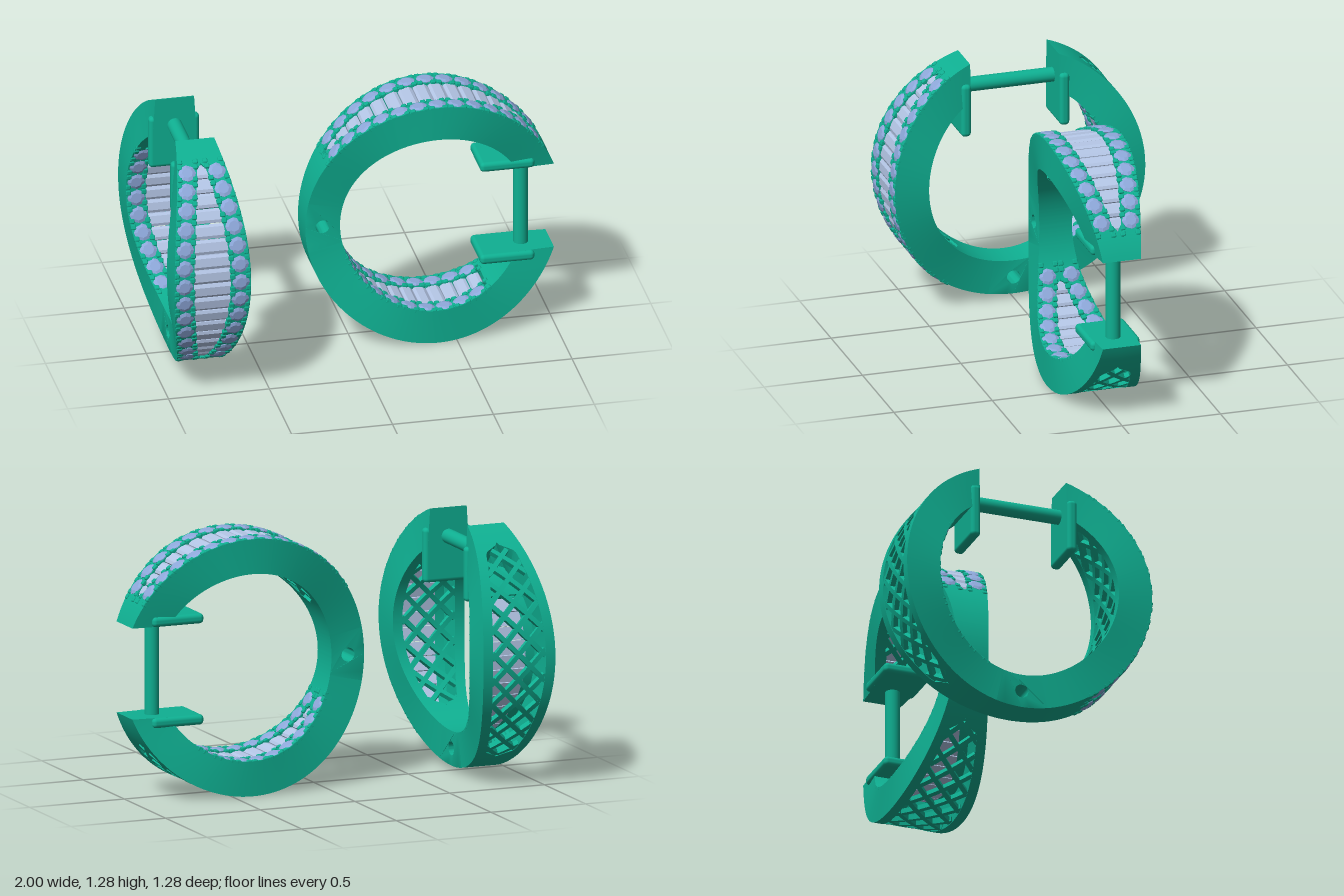
import * as THREE from 'three';
import { toCreasedNormals } from 'three/addons/utils/BufferGeometryUtils.js';
import { RoundedBoxGeometry } from 'three/addons/geometries/RoundedBoxGeometry.js';

const metal = new THREE.MeshStandardMaterial({ color: 0x0fb092 });
const roundStone = new THREE.MeshStandardMaterial({ color: 0x8ea8da, flatShading: true });
const baguetteStone = new THREE.MeshStandardMaterial({ color: 0xb4c6e6, flatShading: true });

const RIN = 0.463, ROUT = 0.635, GAP = 0.225, HINGE = 168;
const rad = THREE.MathUtils.degToRad, lerp = THREE.MathUtils.lerp;

// Half width of the band, and half width of the hollow inside it, by angle
const halfWidth = a => 0.19 - 0.107 * Math.cos(a) ** 2;
const hollow = a => {
  const edge = Math.min(a - rad(34), rad(147) - a) / rad(6);
  return (halfWidth(a) - 0.05) * THREE.MathUtils.smoothstep(edge, 0, 1);
};
const polar = (r, a, z) => new THREE.Vector3(r * Math.cos(a), r * Math.sin(a), z);

function add(parent, name, geometry, material = metal) {
  const mesh = new THREE.Mesh(geometry, material);
  mesh.name = name;
  parent.add(mesh);
  return mesh;
}

// Closed skin over a row of equal cross-sections, turned to face outwards
function sweep(sections, crease = 0.5) {
  const tris = [], m = sections[0].length, last = sections[sections.length - 1];
  for (let i = 0; i + 1 < sections.length; i++) {
    const p = sections[i], q = sections[i + 1];
    for (let j = 0; j < m; j++) {
      const k = (j + 1) % m;
      tris.push([p[j], p[k], q[k]], [p[j], q[k], q[j]]);
    }
  }
  for (let j = 1; j + 1 < m; j++) {
    tris.push([sections[0][0], sections[0][j + 1], sections[0][j]]);
    tris.push([last[0], last[j], last[j + 1]]);
  }
  const o = sections[0][0], v = new THREE.Vector3();
  let volume = 0;
  for (const [a, b, c] of tris) {
    volume += v.crossVectors(b.clone().sub(o), c.clone().sub(o)).dot(a.clone().sub(o));
  }
  const points = tris.flatMap(([a, b, c]) => (volume < 0 ? [a, c, b] : [a, b, c]));
  const geometry = new THREE.BufferGeometry().setFromPoints(points);
  geometry.computeVertexNormals();
  return crease ? toCreasedNormals(geometry, crease) : geometry;
}

// Curved strip between two radii and two z rules, over an angle range in degrees
function strip(r0, r1, z0, z1, from, to, n = 40) {
  const sections = [];
  for (let i = 0; i <= n; i++) {
    const a = rad(lerp(from, to, i / n));
    sections.push([polar(r0, a, z0(a)), polar(r0, a, z1(a)), polar(r1, a, z1(a)), polar(r1, a, z0(a))]);
  }
  return sweep(sections);
}

// Side wall of the upper half, cut level at the opening
function wall(side) {
  const sections = [];
  for (let i = 0; i <= 90; i++) {
    const at = r => lerp(Math.asin(GAP / r), rad(HINGE), i / 90);
    const a = at(RIN), b = at(ROUT);
    sections.push([
      polar(RIN, a, side * hollow(a)), polar(RIN, a, side * halfWidth(a)),
      polar(ROUT, b, side * halfWidth(b)), polar(ROUT, b, side * hollow(b)),
    ]);
  }
  return sweep(sections);
}

// Back of the band with the hinge pin hole
function hinge() {
  const a = rad(HINGE), b = 2 * Math.PI - a;
  const shape = new THREE.Shape();
  shape.absarc(0, 0, ROUT, a, b, false);
  shape.absarc(0, 0, RIN, b, a, true);
  const hole = new THREE.Path();
  hole.absarc(-0.55, 0, 0.034, 0, 2 * Math.PI, true);
  shape.holes.push(hole);
  const geometry = new THREE.ExtrudeGeometry(shape, { depth: 1, bevelEnabled: false, curveSegments: 24 });
  const p = geometry.attributes.position;
  for (let i = 0; i < p.count; i++) {
    const w = halfWidth(Math.atan2(p.getY(i), p.getX(i)));
    p.setZ(i, p.getZ(i) > 0.5 ? w : -w);
  }
  geometry.computeVertexNormals();
  return toCreasedNormals(geometry, 0.5);
}

// Crossing bars over the hollow
function lattice(parent, r0, r1) {
  const r = (r0 + r1) / 2, w = 0.012;
  for (const slope of [-1, 1]) {
    for (let s0 = 30; s0 <= 152; s0 += 0.125 / r * 180 / Math.PI) {
      const sections = [];
      for (let z = -0.17; z <= 0.17; z += 0.01) {
        const a = rad(s0) + slope * z / r;
        if (hollow(a) < 0.01 || Math.abs(z) > hollow(a) + 0.01) continue;
        const da = w * 0.7 / r, dz = w * 0.7 * slope;
        sections.push([
          polar(r0, a - da, z + dz), polar(r0, a + da, z - dz),
          polar(r1, a + da, z - dz), polar(r1, a - da, z + dz),
        ]);
      }
      if (sections.length > 1) add(parent, 'latticeBar', sweep(sections));
    }
  }
}

const stoneGeometry = new THREE.LatheGeometry(
  [[0, -0.03], [0.044, -0.002], [0.044, 0.001], [0.027, 0.008], [0, 0.008]].map(p => new THREE.Vector2(...p)), 8);
const prongGeometry = new RoundedBoxGeometry(0.026, 0.022, 0.026, 1, 0.006);

// Two rows of round stones with prongs, and baguettes between them; dir is the way they face
function stoneSetting(parent, r, dir, from, to, count, baguettes) {
  const inset = a => Math.max(halfWidth(a) - 0.098, 0.002);
  const place = (name, geometry, material, a, z, h) => {
    const mesh = add(parent, name, geometry, material);
    mesh.position.copy(polar(r + dir * h, a, z));
    mesh.rotation.z = a - dir * Math.PI / 2;
  };
  const step = (to - from) / count;
  for (const side of [-1, 1]) {
    add(parent, 'stoneRail', strip(r - dir * 0.035, r - dir * 0.003,
      a => side * inset(a), a => side * (halfWidth(a) - 0.03), from, to));
    for (let i = 0; i <= count; i++) {
      const a = rad(from + i * step), c = rad(from + (i + 0.5) * step);
      if (i < count) place('roundStone', stoneGeometry, roundStone, c, side * (halfWidth(c) - 0.05), -0.001);
      for (const shift of [-0.015, 0.015]) {
        const b = a + shift / r;
        place('prong', prongGeometry, metal, b, side * (halfWidth(b) - 0.013), -0.005);
        place('prong', prongGeometry, metal, b, side * Math.max(halfWidth(b) - 0.09, 0.014), -0.005);
      }
    }
  }
  // Bevelled baguettes following the tapering channel
  const bStep = (to - from) / baguettes;
  for (let i = 0; i < baguettes; i++) {
    const mid = rad(from + (i + 0.5) * bStep), half = rad(bStep) * 0.47;
    if (inset(mid) < 0.012) continue;
    const profile = [[-1, -0.035], [-1, -0.014], [-0.6, -0.006], [0.6, -0.006], [1, -0.014], [1, -0.035]];
    const section = side => profile.map(([u, h]) =>
      polar(r + dir * h, mid + u * half, side * inset(mid + u * half)));
    add(parent, 'baguetteStone', sweep([section(-1), section(1)], 0), baguetteStone);
  }
}

function earring(name) {
  const ring = new THREE.Group();
  ring.name = name;
  const upper = new THREE.Group(), lower = new THREE.Group();
  upper.name = 'upperHalf';
  lower.name = 'lowerHalf';
  lower.rotation.x = Math.PI;
  ring.add(upper, lower);

  for (const half of [upper, lower]) {
    for (const side of [-1, 1]) add(half, 'bandWall', wall(side));
    add(half, 'claspPlate', new RoundedBoxGeometry(0.27, 0.05, 0.25, 3, 0.02)).position.set(0.36, 0.25, 0);
  }
  add(ring, 'hingeBlock', hinge());
  add(ring, 'claspPost', new THREE.CylinderGeometry(0.036, 0.036, 2 * GAP + 0.04, 32)).position.x = 0.45;

  // Stones outside on top and inside below; lattice on the opposite faces
  stoneSetting(upper, ROUT, 1, 34, 145, 13, 16);
  lattice(upper, RIN + 0.002, RIN + 0.027);
  stoneSetting(lower, RIN, -1, 58, 155, 9, 12);
  lattice(lower, ROUT - 0.027, ROUT - 0.002);
  add(lower, 'innerEndPlate', strip(RIN, RIN + 0.03, a => -hollow(a) - 0.01, a => hollow(a) + 0.01, 33, 56));
  return ring;
}

export function createModel() {
  const model = new THREE.Group();
  model.name = 'hoopEarrings';
  const sideways = earring('leftEarring');
  sideways.position.set(0.405, 0.637, 0);

  // The second one opens upwards, with its stones to the front
  const upright = earring('rightEarring');
  upright.quaternion.setFromRotationMatrix(new THREE.Matrix4().makeBasis(
    new THREE.Vector3(0, 1, 0), new THREE.Vector3(0, 0, 1), new THREE.Vector3(1, 0, 0)));
  upright.position.set(-0.81, 0.66, 0);
  model.add(sideways, upright);
  return model;
}
